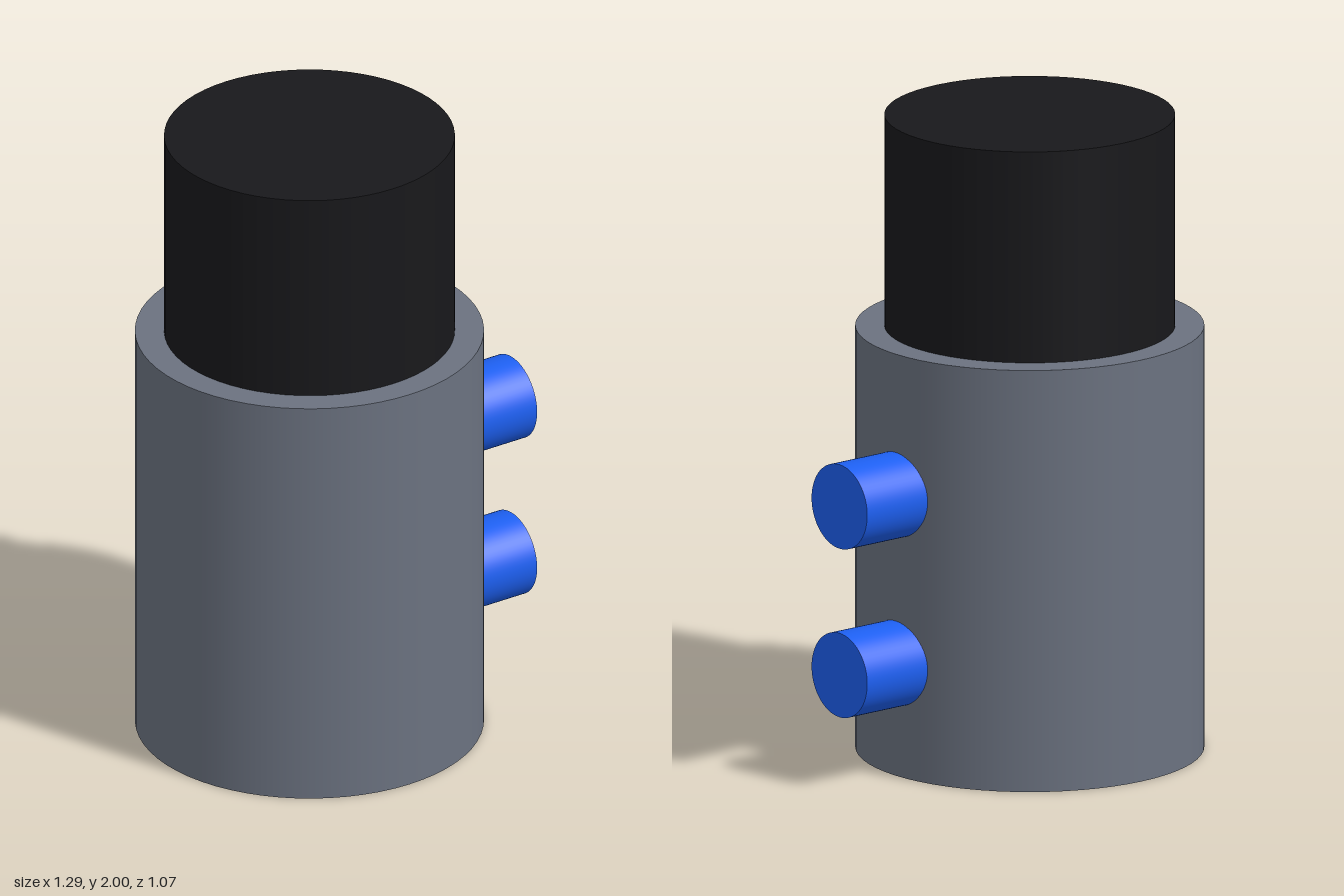
import * as THREE from 'three';

const AXIS_X = -0.111; // centre line of the body and cap
const SEGMENTS = 64;

function cylinder(name, radius, length, color) {
  const mesh = new THREE.Mesh(
    new THREE.CylinderGeometry(radius, radius, length, SEGMENTS),
    new THREE.MeshStandardMaterial({ color })
  );
  mesh.name = name;
  return mesh;
}

export function createModel() {
  const model = new THREE.Group();
  model.name = 'canister';

  // Main body standing on the ground
  const bodyHeight = 1.333;
  const body = cylinder('body', 0.533, bodyHeight, 0x6b7280);
  body.position.set(AXIS_X, bodyHeight / 2, 0);

  // Narrower dark cap on top of the body
  const capHeight = 2 - bodyHeight;
  const cap = cylinder('cap', 0.444, capHeight, 0x18181b);
  cap.position.set(AXIS_X, bodyHeight + capHeight / 2, 0);
  model.add(body, cap);

  // Two side ports, rooted inside the body wall
  const portStart = 0.378, portEnd = 0.644;
  for (const [name, y] of [['lowerPort', 0.356], ['upperPort', 0.889]]) {
    const port = cylinder(name, 0.133, portEnd - portStart, 0x1d5ff0);
    port.rotation.z = -Math.PI / 2;
    port.position.set((portStart + portEnd) / 2, y, 0);
    model.add(port);
  }

  return model;
}
